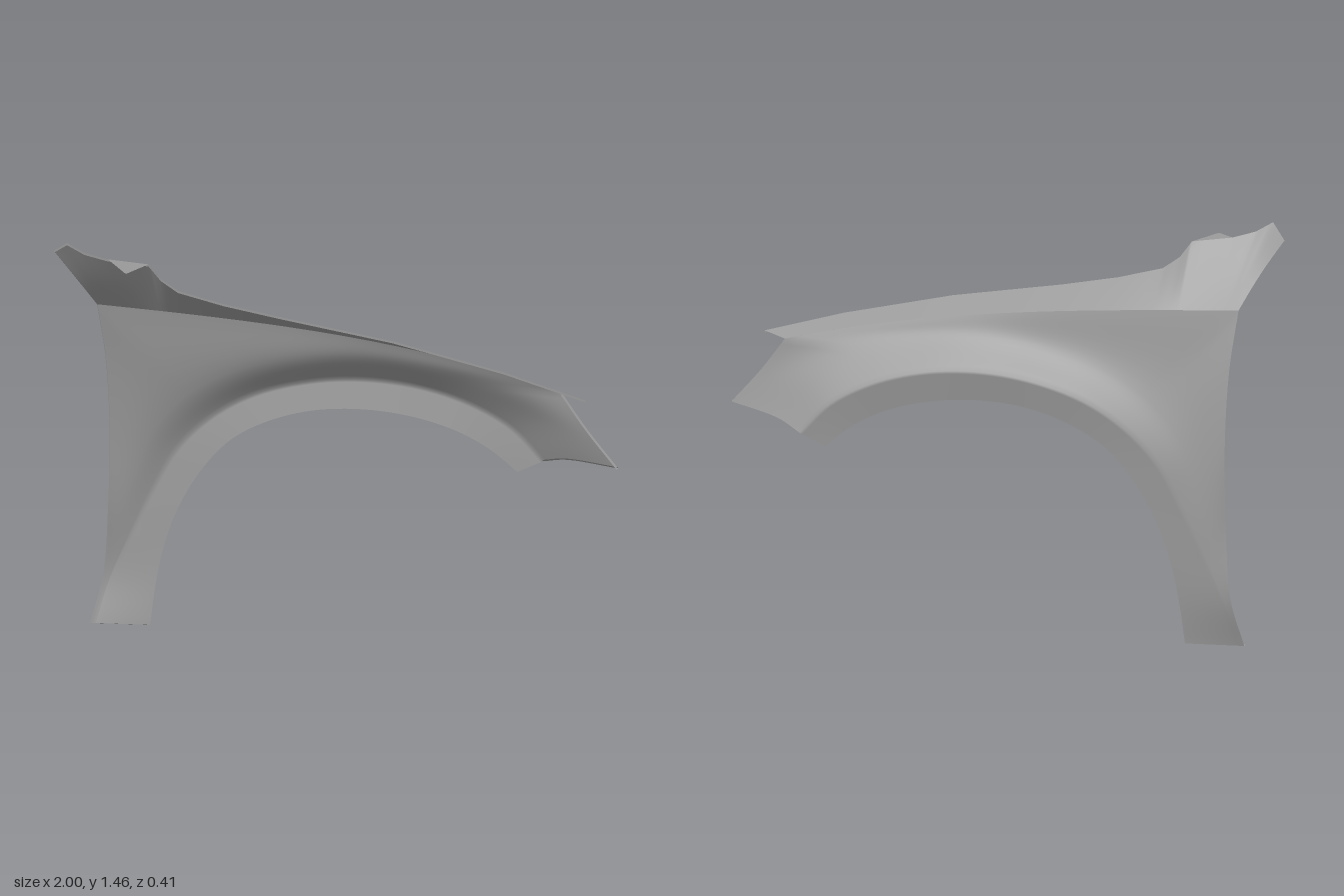
import * as THREE from 'three';

const V = (x, y, z) => new THREE.Vector3(x, y, z);
const material = new THREE.MeshStandardMaterial({ color: 0x9a9a9a, side: THREE.DoubleSide });

// Smooth or straight-segment curve through control points, k steps per interval
const smooth = (pts, k = 6) =>
  new THREE.CatmullRomCurve3(pts.map(p => V(...p))).getPoints((pts.length - 1) * k);
function straight(pts, k) {
  const out = [];
  for (let i = 0; i < pts.length - 1; i++)
    for (let j = 0; j < k; j++) out.push(V(...pts[i]).lerp(V(...pts[i + 1]), j / k));
  out.push(V(...pts[pts.length - 1]));
  return out;
}

// Surface through rows of equally many points
function loft(name, rows) {
  const n = rows[0].length, index = [];
  for (let r = 0; r < rows.length - 1; r++)
    for (let i = 0; i < n - 1; i++) {
      const a = r * n + i, b = a + n;
      index.push(a, a + 1, b, b, a + 1, b + 1);
    }
  const geo = new THREE.BufferGeometry().setFromPoints(rows.flat());
  geo.setIndex(index);
  geo.computeVertexNormals();
  const mesh = new THREE.Mesh(geo, material);
  mesh.name = name;
  return mesh;
}

// Narrow folded return along an edge
const hem = (name, pts, x, y, z) => loft(name, [pts, pts.map(p => p.clone().add(V(x, y, z)))]);

// Character line along the side, as a function of x
function crease(x) {
  const s = (x + 0.875) / 1.665;
  return [x, 1.18 - 0.08 * s - 0.125 * s ** 3, -0.088 - 0.03 * s + 0.068 * s ** 3];
}

export function createModel() {
  const group = new THREE.Group();
  group.name = 'fender';

  // Wheel opening edge
  const archEdge = smooth([
    [-0.70, 0, -0.155], [-0.685, 0.14, -0.17], [-0.655, 0.29, -0.18], [-0.6, 0.44, -0.184],
    [-0.52, 0.575, -0.187], [-0.42, 0.685, -0.188], [-0.29, 0.76, -0.188], [-0.13, 0.81, -0.188],
    [0.05, 0.826, -0.188], [0.23, 0.81, -0.188], [0.38, 0.77, -0.188], [0.5, 0.71, -0.19], [0.6, 0.632, -0.192]]);
  // Outer crease of the arch lip
  const lipCrease = smooth([
    [-0.89, 0, -0.14], [-0.85, 0.15, -0.178], [-0.775, 0.32, -0.188], [-0.70, 0.48, -0.194],
    [-0.61, 0.64, -0.199], [-0.49, 0.76, -0.203], [-0.34, 0.85, -0.205], [-0.14, 0.91, -0.205],
    [0.05, 0.93, -0.205], [0.25, 0.915, -0.205], [0.43, 0.865, -0.205], [0.58, 0.785, -0.205], [0.69, 0.675, -0.2]]);
  // Where the flare fades into the side
  const flareLine = smooth([
    [-0.9, 0, -0.138], [-0.86, 0.16, -0.177], [-0.815, 0.36, -0.176], [-0.76, 0.54, -0.172],
    [-0.69, 0.71, -0.161], [-0.57, 0.85, -0.145], [-0.38, 0.96, -0.13], [-0.15, 1.02, -0.121],
    [0.06, 1.035, -0.12], [0.28, 1.01, -0.12], [0.5, 0.95, -0.125], [0.66, 0.85, -0.135], [0.79, 0.708, -0.13]]);

  // Side boundary: door edge, character line, lamp edge
  const doorEdge = smooth([[-0.91, 0, -0.135], [-0.872, 0.17, -0.175], [-0.852, 0.42, -0.163],
    [-0.845, 0.7, -0.155], [-0.852, 0.97, -0.125], [-0.875, 1.18, -0.088]]);
  const creaseLine = straight([-0.875, -0.45, -0.15, 0.12, 0.45, 0.79].map(crease), 6)
    .map(p => V(...crease(p.x)));
  const lampEdge = smooth([[0.79, 0.975, -0.05], [0.885, 0.855, -0.028], [1, 0.73, 0]]);
  const boundary = [...doorEdge, ...creaseLine.slice(1), ...lampEdge.slice(1)];

  // Side panel with arch lip; a row close to the crease keeps it crisp
  const across = lipCrease.map((p, i) =>
    new THREE.CatmullRomCurve3([p, flareLine[i], boundary[i]]).getPoints(14));
  const sideRows = across[0].map((_, r) => across.map(c => c[r]));
  const lipRows = [0, 0.45, 0.9].map(t => archEdge.map((p, i) => p.clone().lerp(lipCrease[i], t)));
  group.add(loft('sidePanel', [...lipRows, ...sideRows]));

  // Shoulder from the character line up to the hood edge
  const topEdge = straight([[-1, 1.41, 0.05], [-0.94, 1.46, 0.11], [-0.88, 1.425, 0.1], [-0.8, 1.402, 0.085],
    [-0.66, 1.385, 0.06], [-0.62, 1.33, 0.045], [-0.56, 1.288, 0.038], [-0.4, 1.248, 0.03],
    [-0.2, 1.212, 0.024], [0.2, 1.15, 0.024], [0.6, 1.063, 0.028], [0.89, 0.982, 0.035]], 4);
  const shoulderBase = straight([-0.875, -0.855, -0.83, -0.78, -0.66, -0.62, -0.56, -0.4, -0.2, 0.2, 0.55, 0.79]
    .map(crease), 4).map(p => V(...crease(p.x)));
  const shoulderRows = [];
  for (let r = 0; r <= 8; r++) {
    const bow = Math.sin(Math.PI * r / 8);
    shoulderRows.push(shoulderBase.map((p, i) => {
      const f = bow * Math.max(0, 1 - i / 16);
      return p.clone().lerp(topEdge[i], r / 8).add(V(0.01 * f, 0, 0.02 * f));
    }));
  }
  group.add(loft('shoulder', shoulderRows));

  // Pointed mounting tab at the rear top
  group.add(loft('mountingTab', [
    [V(-0.8, 1.402, 0.085), V(-0.66, 1.385, 0.06)],
    [V(-0.715, 1.392, 0.2), V(-0.71, 1.39, 0.2)]]));

  // Folded edges
  group.add(hem('doorEdgeHem', doorEdge, 0.003, 0, 0.006));
  group.add(hem('pillarEdgeHem', shoulderRows.map(r => r[0]), 0.004, 0, 0.006));
  group.add(hem('hoodEdgeHem', topEdge, 0, -0.008, 0));
  group.add(hem('lampEdgeHem', lampEdge, -0.005, -0.003, 0.006));
  group.add(hem('bumperEdgeHem', across[across.length - 1], -0.002, 0.006, 0.005));
  group.add(hem('sillEdgeHem', [archEdge[0], doorEdge[0]], 0, 0.003, 0.008));
  return group;
}
